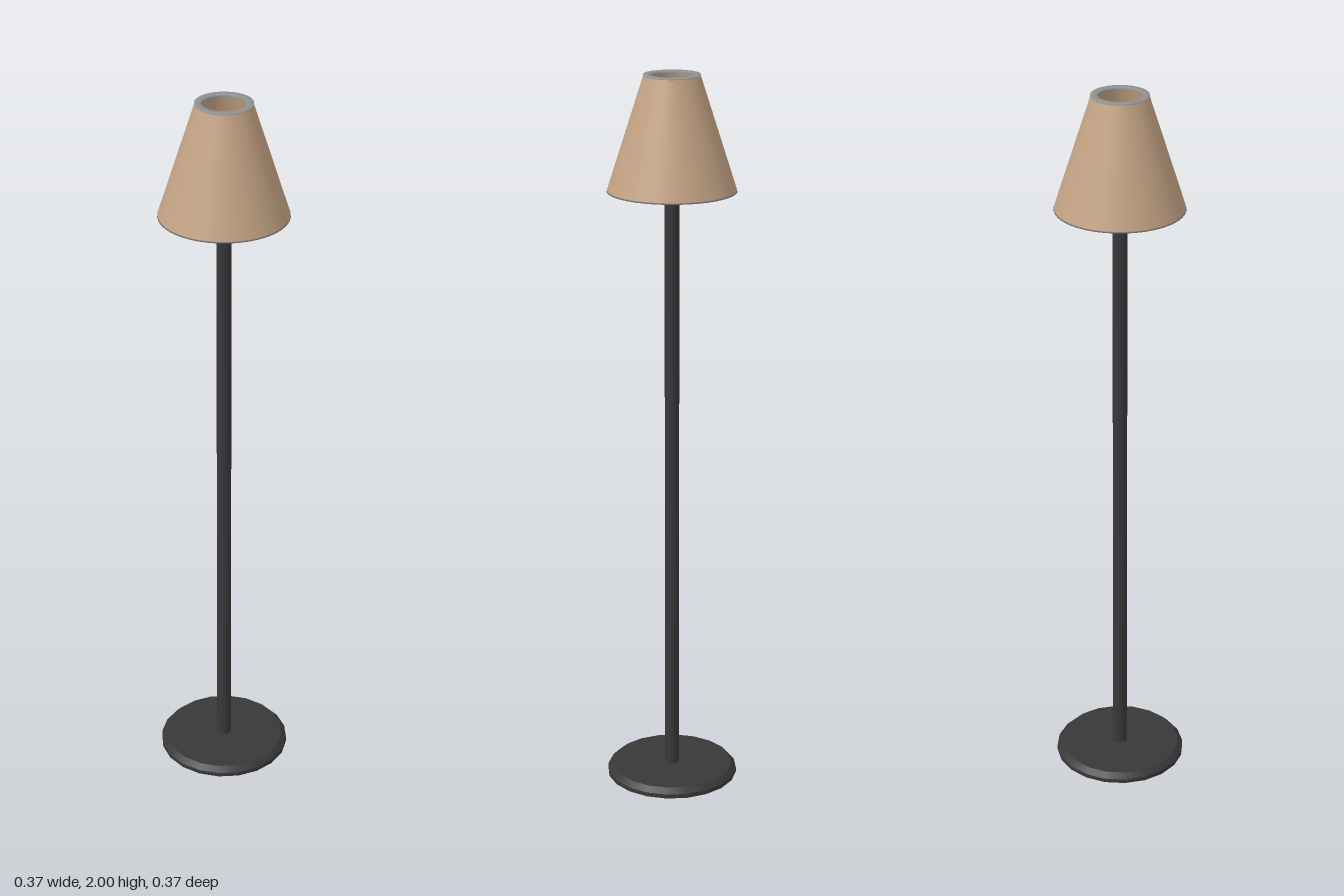
import * as THREE from 'three';

export function createModel() {
  const model = new THREE.Group();
  const mat = (name, color, side = THREE.FrontSide) => {
    const m = new THREE.MeshStandardMaterial({ color, side });
    m.name = name;
    return m;
  };
  const black = mat('black metal', 0x383838);
  const grey = mat('grey metal', 0x929292, THREE.DoubleSide);
  const fabric = mat('tan fabric', 0xc4a384, THREE.DoubleSide);
  const white = mat('white glass', 0xeeeeee);

  const add = (name, geometry, material, y = 0) => {
    const mesh = new THREE.Mesh(geometry, material);
    mesh.name = name;
    mesh.position.y = y;
    model.add(mesh);
    return mesh;
  };
  const lathe = (points, segments) =>
    new THREE.LatheGeometry(points.map(([r, y]) => new THREE.Vector2(r, y)), segments);

  // Twenty-sided foot: straight edge, bevel, then flat top
  add('baseEdge', new THREE.CylinderGeometry(0.184, 0.184, 0.012, 20), black, 0.006);
  add('baseBevel', new THREE.CylinderGeometry(0.170, 0.184, 0.015, 20), black, 0.0195);

  // Pole running up into the shade
  add('pole', new THREE.CylinderGeometry(0.02, 0.02, 1.78, 16), black, 0.915);

  // Thick-walled conical shade
  const bottom = 1.695, top = 1.997;
  add('shadeOutside', lathe([[0.172, bottom], [0.075, top]], 40), fabric);
  add('shadeInside', lathe([[0.058, top], [0.135, bottom]], 40), fabric);

  // Rims closing the shade wall, top and bottom
  add('topRim', lathe([[0.075, top - 0.004], [0.076, 2], [0.058, 2], [0.058, top - 0.004]], 40), grey);
  add('bottomRim', lathe([[0.135, bottom], [0.135, bottom - 0.004], [0.173, bottom - 0.004], [0.172, bottom]], 40), grey);

  // Socket and bulb
  add('socket', new THREE.CylinderGeometry(0.025, 0.025, 0.04, 20), black, 1.815);
  add('bulb', new THREE.SphereGeometry(0.041, 24, 16), white, 1.865);

  // Four spokes holding the shade
  for (let i = 0; i < 4; i++) {
    const angle = (i * Math.PI) / 2;
    const geometry = new THREE.CylinderGeometry(0.004, 0.004, 0.08, 8);
    geometry.rotateZ(Math.PI / 2).translate(0.06, 0, 0).rotateY(angle);
    add('spoke' + (i + 1), geometry, grey, 1.825);
  }
  return model;
}
